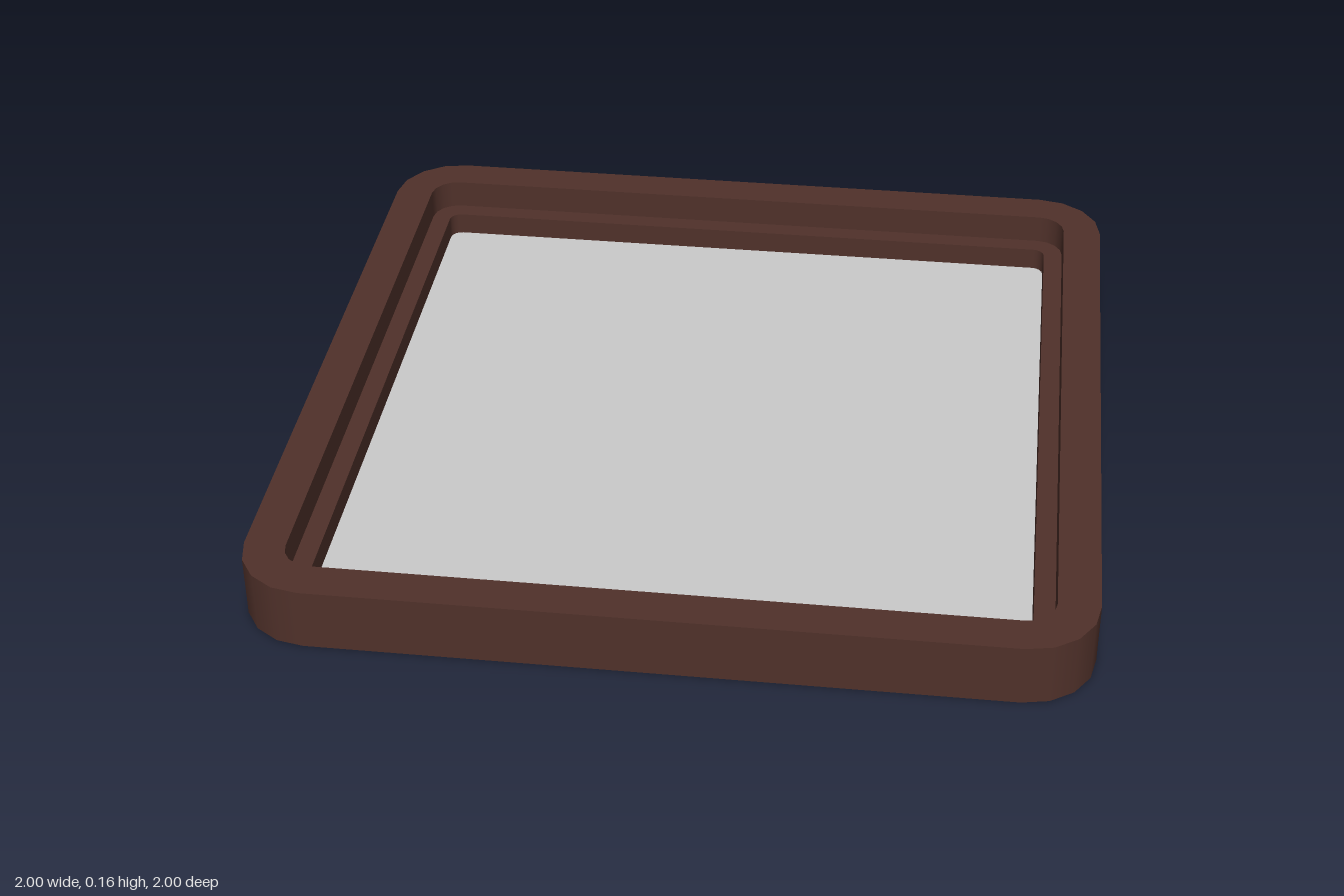
import * as THREE from 'three';

const CORNER_STEPS = 4;

// Points round a rounded square of half-width h and corner radius r, with outward directions
function roundedRing(h, r) {
  const ring = [];
  for (let q = 0; q < 4; q++) {
    const mid = (q + 0.5) * Math.PI / 2;
    const cx = Math.sign(Math.cos(mid)) * (h - r);
    const cz = Math.sign(Math.sin(mid)) * (h - r);
    for (let i = 0; i <= CORNER_STEPS; i++) {
      const t = (q + i / CORNER_STEPS) * Math.PI / 2;
      const nx = Math.cos(t), nz = Math.sin(t);
      ring.push({ x: cx + r * nx, z: cz + r * nz, nx, nz });
    }
  }
  return ring;
}

// One band between two rounded squares: smooth round the corners, sharp at its rims
function band(a, b) {
  const rings = [roundedRing(a.h, a.r), roundedRing(b.h, b.r)];
  const length = Math.hypot(b.h - a.h, b.y - a.y);
  const side = (b.y - a.y) / length, up = (a.h - b.h) / length;
  const position = [], normal = [], index = [];
  const count = rings[0].length;
  for (let i = 0; i < count; i++) {
    [a, b].forEach((level, k) => {
      const p = rings[k][i];
      position.push(p.x, level.y, p.z);
      normal.push(p.nx * side, up, p.nz * side);
    });
    const j = (i + 1) % count;
    index.push(2 * i, 2 * i + 1, 2 * j, 2 * j, 2 * i + 1, 2 * j + 1);
  }
  const geometry = new THREE.BufferGeometry();
  geometry.setAttribute('position', new THREE.Float32BufferAttribute(position, 3));
  geometry.setAttribute('normal', new THREE.Float32BufferAttribute(normal, 3));
  geometry.setIndex(index);
  return geometry;
}

export function createModel() {
  const model = new THREE.Group();
  model.name = 'framedPanel';
  const brown = new THREE.MeshStandardMaterial({ color: 0x50312a, side: THREE.DoubleSide });
  const grey = new THREE.MeshStandardMaterial({ color: 0xcccccc, side: THREE.DoubleSide });

  // Hollow frame, open underneath: profile from the outer foot over the rim to the panel
  const profile = [
    { h: 1, r: 0.17, y: 0 },
    { h: 1, r: 0.17, y: 0.157 },
    { h: 0.9, r: 0.07, y: 0.157 },
    { h: 0.9, r: 0.07, y: 0.08 },
    { h: 0.85, r: 0.03, y: 0.08 },
    { h: 0.85, r: 0.03, y: 0.02 },
  ];
  const names = ['outerWall', 'topRim', 'innerWall', 'ledge', 'panelSkirt'];
  const frame = new THREE.Group();
  frame.name = 'frame';
  names.forEach((name, i) => {
    const mesh = new THREE.Mesh(band(profile[i], profile[i + 1]), brown);
    mesh.name = name;
    frame.add(mesh);
  });
  model.add(frame);

  // Flat panel closing the opening
  const { h, r, y } = profile[profile.length - 1];
  const outline = roundedRing(h, r).map((p) => new THREE.Vector2(p.x, p.z));
  const panel = new THREE.Mesh(new THREE.ShapeGeometry(new THREE.Shape(outline)), grey);
  panel.name = 'panel';
  panel.rotation.x = -Math.PI / 2;
  panel.position.y = y;
  model.add(panel);

  return model;
}
